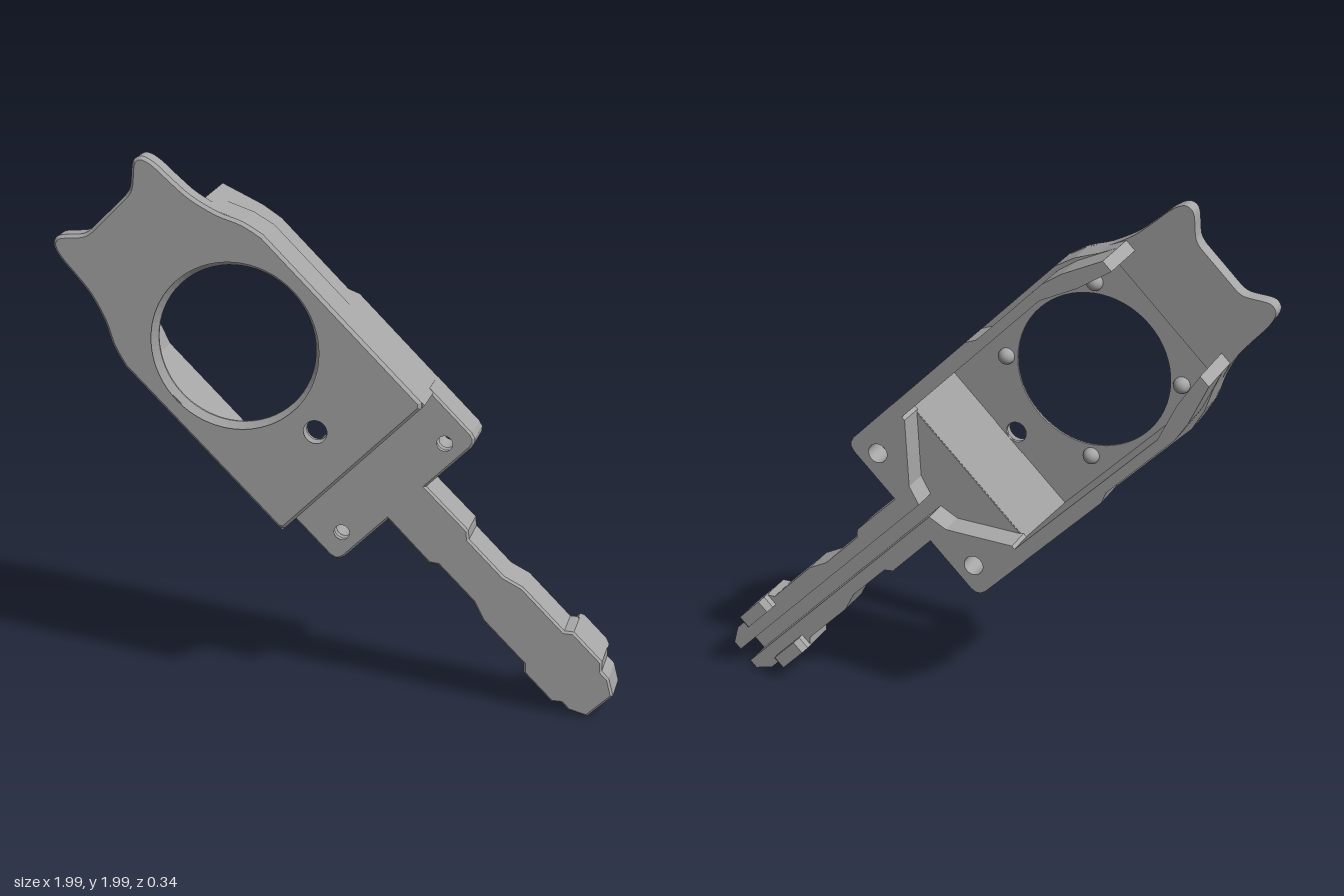
import * as THREE from 'three';

// Local frame: x runs along the part from head to tip, y across it, z to the front.
// The large round opening is the local origin.
const V = (p) => new THREE.Vector2(p[0], p[1]);
const mirror = (pts) => pts.map(([u, v]) => [u, -v]).reverse();
const polygon = (pts) => new THREE.Shape(pts.map(V));

function addHole(shape, u, v, r) {
  const path = new THREE.Path();
  path.absarc(u, v, r, 0, Math.PI * 2, true);
  shape.holes.push(path);
}

export function createModel() {
  const grey = new THREE.MeshStandardMaterial({ color: 0xa6a6a6, side: THREE.DoubleSide });
  grey.name = 'grey metal';

  const part = new THREE.Group();
  part.name = 'keyTool';

  function add(name, geometry) {
    const mesh = new THREE.Mesh(geometry, grey);
    mesh.name = name;
    part.add(mesh);
    return mesh;
  }

  // Plate between two z levels, optionally with a small edge bevel
  function slab(name, shape, z0, z1, bevel = 0) {
    const g = new THREE.ExtrudeGeometry(shape, {
      depth: z1 - z0 - 2 * bevel, curveSegments: 48,
      bevelEnabled: bevel > 0, bevelThickness: bevel, bevelSize: bevel,
      bevelOffset: -bevel, bevelSegments: 1,
    });
    g.translate(0, 0, z0 + bevel);
    return add(name, g);
  }

  // Profile in (u, z), extruded across v
  function crossBar(name, profile, v0, v1) {
    const g = new THREE.ExtrudeGeometry(polygon(profile), { depth: v1 - v0, bevelEnabled: false });
    g.rotateX(Math.PI / 2);
    g.translate(0, v1, 0);
    return add(name, g);
  }

  // Conical ring from (radius, z) points
  function ring(name, profile, u) {
    const g = new THREE.LatheGeometry(profile.map(V), 64).toNonIndexed();
    g.rotateX(Math.PI / 2);
    g.translate(u, 0, 0);
    g.computeVertexNormals();
    return add(name, g);
  }

  // Head outline on the +v side, from the concave end to the straight flank
  const horn = new THREE.SplineCurve([
    [-0.632, 0.09], [-0.642, 0.127], [-0.69, 0.187], [-0.697, 0.215], [-0.682, 0.238],
    [-0.636, 0.252], [-0.55, 0.258], [-0.47, 0.267], [-0.372, 0.297], [-0.29, 0.338], [-0.21, 0.36],
  ].map(V)).getPoints(40).map((p) => [p.x, p.y]);
  const side = [...horn, [0.575, 0.36], [0.59, 0.345]];

  // Front face plate with its round openings
  const face = polygon([...side, ...mirror(side)]);
  addHole(face, 0, 0, 0.313);
  addHole(face, 0.407, 0, 0.053);
  slab('facePlate', face, 0.13, 0.17, 0.011);
  ring('openingRim', [[0.326, 0.17], [0.284, 0.137], [0.284, 0.129], [0.34, 0.129]], 0);
  ring('screwHoleRim', [[0.066, 0.17], [0.038, 0.142], [0.038, 0.129], [0.08, 0.129]], 0.407);

  // Thicker head behind the face plate
  const headSide = [...horn.filter((p) => p[0] < -0.37), [-0.36, 0.3]];
  slab('headBacking', polygon([...headSide, ...mirror(headSide)]), 0.1, 0.155);

  // Side walls: full outline in front, slightly drawn in behind
  const inner = [[0.59, 0.305], [-0.16, 0.305], [-0.3, 0.255], [-0.44, 0.225]];
  const wallFront = [[-0.44, 0.27], [-0.372, 0.297], [-0.29, 0.338], [-0.21, 0.36], [0.59, 0.36], ...inner];
  const wallBack = [[-0.44, 0.27], [-0.372, 0.295], [-0.29, 0.325], [-0.21, 0.342],
    [0.13, 0.342], [0.17, 0.36], [0.59, 0.36], ...inner];

  // Half of the flange and blade behind the front skin, open along the centre
  const bladeSide = [
    [0.823, 0.097], [1.038, 0.099], [1.065, 0.077], [1.247, 0.077], [1.32, 0.101], [1.535, 0.101],
    [1.56, 0.125], [1.707, 0.125], [1.733, 0.099], [1.77, 0.099], [1.829, 0.064],
  ];
  const corner = [[0.785, 0.361], [0.806, 0.355], [0.818, 0.342], [0.823, 0.322]];
  const rail = [
    [0.57, 0.361], ...corner, ...bladeSide,
    [1.829, 0.028], [0.76, 0.028], [0.74, 0.1], [0.57, 0.29],
  ];

  for (const s of [1, -1]) {
    const flip = (pts) => (s > 0 ? pts : mirror(pts));
    const tag = s > 0 ? 'left' : 'right';
    slab(tag + 'WallFront', polygon(flip(wallFront)), 0.02, 0.155);
    slab(tag + 'WallBack', polygon(flip(wallBack)), -0.12, 0.02);

    const railShape = polygon(flip(rail));
    addHole(railShape, 0.75, s * 0.262, 0.036);
    slab(tag + 'FlangeRail', railShape, -0.12, 0.005);

    // Raised catch on the back of the blade
    const v0 = s > 0 ? 0.075 : -0.125;
    crossBar(tag + 'Catch', [[1.555, -0.11], [1.555, -0.145], [1.575, -0.165],
      [1.69, -0.165], [1.71, -0.145], [1.71, -0.11]], v0, v0 + 0.05);

    // Round studs around the opening
    for (const u of [-0.23, 0.23]) {
      const stud = add('stud', new THREE.SphereGeometry(0.03, 20, 12));
      stud.position.set(u, s * 0.23, 0.125);
    }
  }

  // Front skin of flange and blade
  const skinSide = [[0.57, 0.361], ...corner, ...bladeSide];
  const skin = polygon([...skinSide, ...mirror(skinSide)]);
  for (const v of [0.262, -0.262]) addHole(skin, 0.75, v, 0.036);
  slab('flangeSkin', skin, -0.02, 0.022, 0.008);

  // Sloped step joining the body floor to the flange
  crossBar('bodyStep', [[0.59, 0.155], [0.44, 0.135], [0.575, -0.018], [0.59, -0.018]], -0.36, 0.36);

  // Stand the part on its diagonal
  part.rotation.z = -Math.PI / 4;
  part.position.set(-0.34, 1.34, 0);
  const model = new THREE.Group();
  model.name = 'model';
  model.add(part);
  return model;
}
